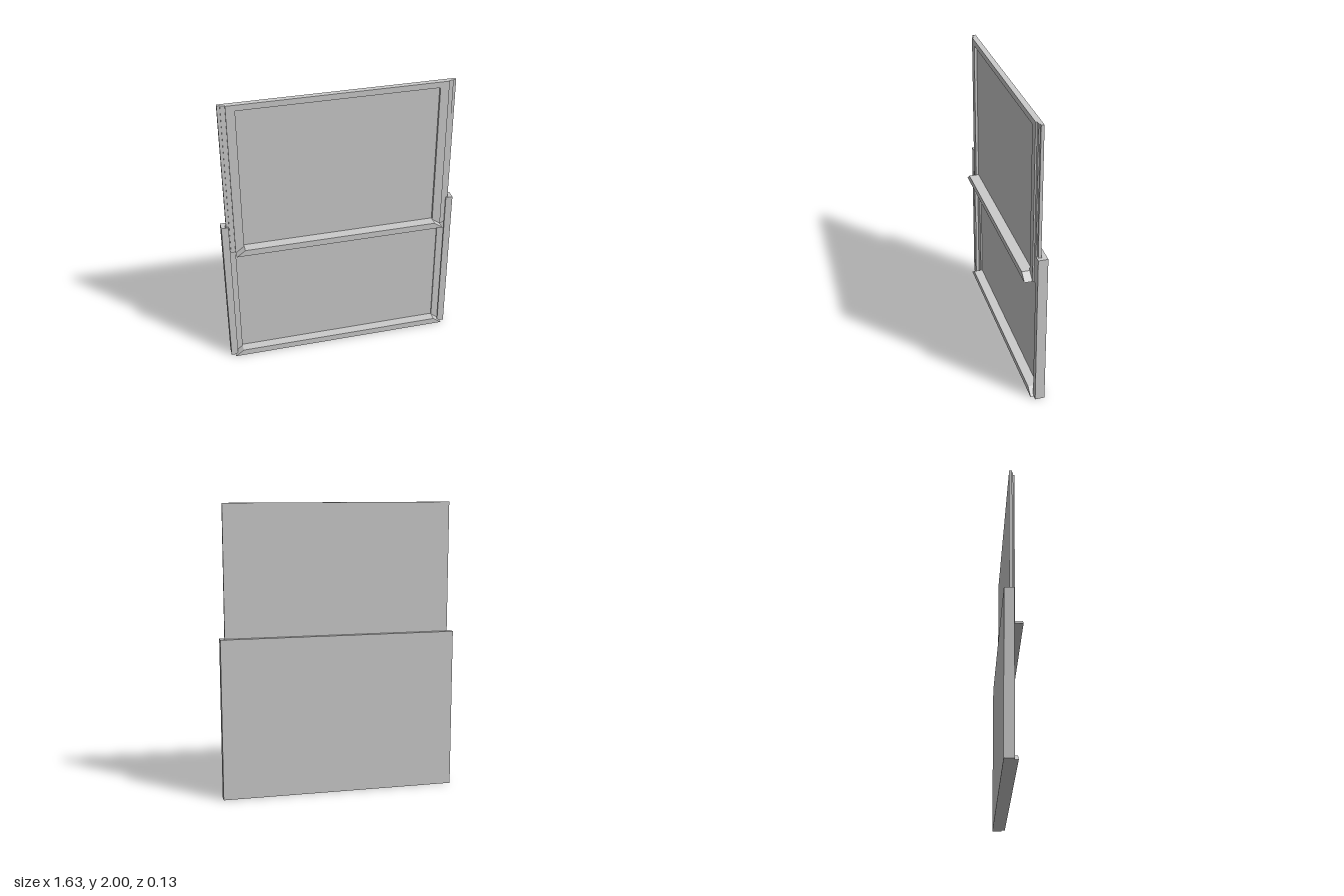
import * as THREE from 'three';

export function createModel() {
  const model = new THREE.Group();
  const mat = new THREE.MeshStandardMaterial({ color: 0xcccccc, flatShading: true });

  const add = (parent, geo, name) => {
    const mesh = new THREE.Mesh(geo, mat);
    mesh.name = name;
    parent.add(mesh);
    return mesh;
  };
  const outline = (pts) => new THREE.Shape(pts.map(([x, y]) => new THREE.Vector2(x, y)));
  const rect = (w, y0, y1) => [[-w, y0], [w, y0], [w, y1], [-w, y1]];

  // Front-facing slab between two depths, with an optional opening
  const slab = (parent, name, pts, z0, z1, hole) => {
    const shape = outline(pts);
    if (hole) shape.holes.push(outline(hole));
    const geo = new THREE.ExtrudeGeometry(shape, { depth: z1 - z0, bevelEnabled: false });
    geo.translate(0, 0, z0);
    return add(parent, geo, name);
  };

  // Fixed lower panel: backing, raised face frame, side channels and sill
  const lower = new THREE.Group();
  lower.name = 'lowerPanel';
  model.add(lower);
  slab(lower, 'lowerBacking', rect(0.813, 0, 1.105), -0.063, -0.041);
  slab(lower, 'lowerFaceFrame', rect(0.813, 0, 1.105), -0.041, -0.03, rect(0.725, 0.045, 1.06));
  for (const s of [-1, 1]) {
    // C-shaped channel that holds the tongue of the sliding panel
    const section = [[0.813, 0.03], [0.785, 0.03], [0.785, 0.008], [0.765, 0.008], [0.765, -0.002], [0.813, -0.002]]
      .map(([x, z]) => [x * s, z]);
    const geo = new THREE.ExtrudeGeometry(outline(section), { depth: 1.105, bevelEnabled: false });
    geo.rotateX(Math.PI / 2).translate(0, 1.105, 0);
    // the section is drawn with depth reversed, so turn it to face forward
    const p = geo.attributes.position;
    for (let i = 0; i < p.count; i++) p.setZ(i, -p.getZ(i));
    for (let i = 0; i < p.count; i += 3) {
      const a = new THREE.Vector3().fromBufferAttribute(p, i + 1);
      const b = new THREE.Vector3().fromBufferAttribute(p, i + 2);
      p.setXYZ(i + 1, b.x, b.y, b.z);
      p.setXYZ(i + 2, a.x, a.y, a.z);
    }
    geo.computeVertexNormals();
    add(lower, geo, s < 0 ? 'rightChannel' : 'leftChannel');
  }
  slab(lower, 'sill', [[-0.785, 0], [0.785, 0], [0.725, 0.045], [-0.725, 0.045]], -0.03, 0.025);

  // Sliding upper panel: tongued backing, stepped edges and recessed field
  const upper = new THREE.Group();
  upper.name = 'upperPanel';
  model.add(upper);
  const field = rect(0.67, 0.945, 1.96);
  slab(upper, 'upperBacking', rect(0.78, 0.9, 2), -0.028, -0.008);
  slab(upper, 'edgeStep', rect(0.76, 0.9, 2), -0.008, 0, field);
  slab(upper, 'upperFaceFrame', rect(0.73, 0.9, 2), 0, 0.01, field);
  slab(upper, 'handleRail', [[-0.73, 0.9], [0.73, 0.9], [0.67, 0.945], [-0.67, 0.945]], 0.01, 0.063);

  return model;
}
